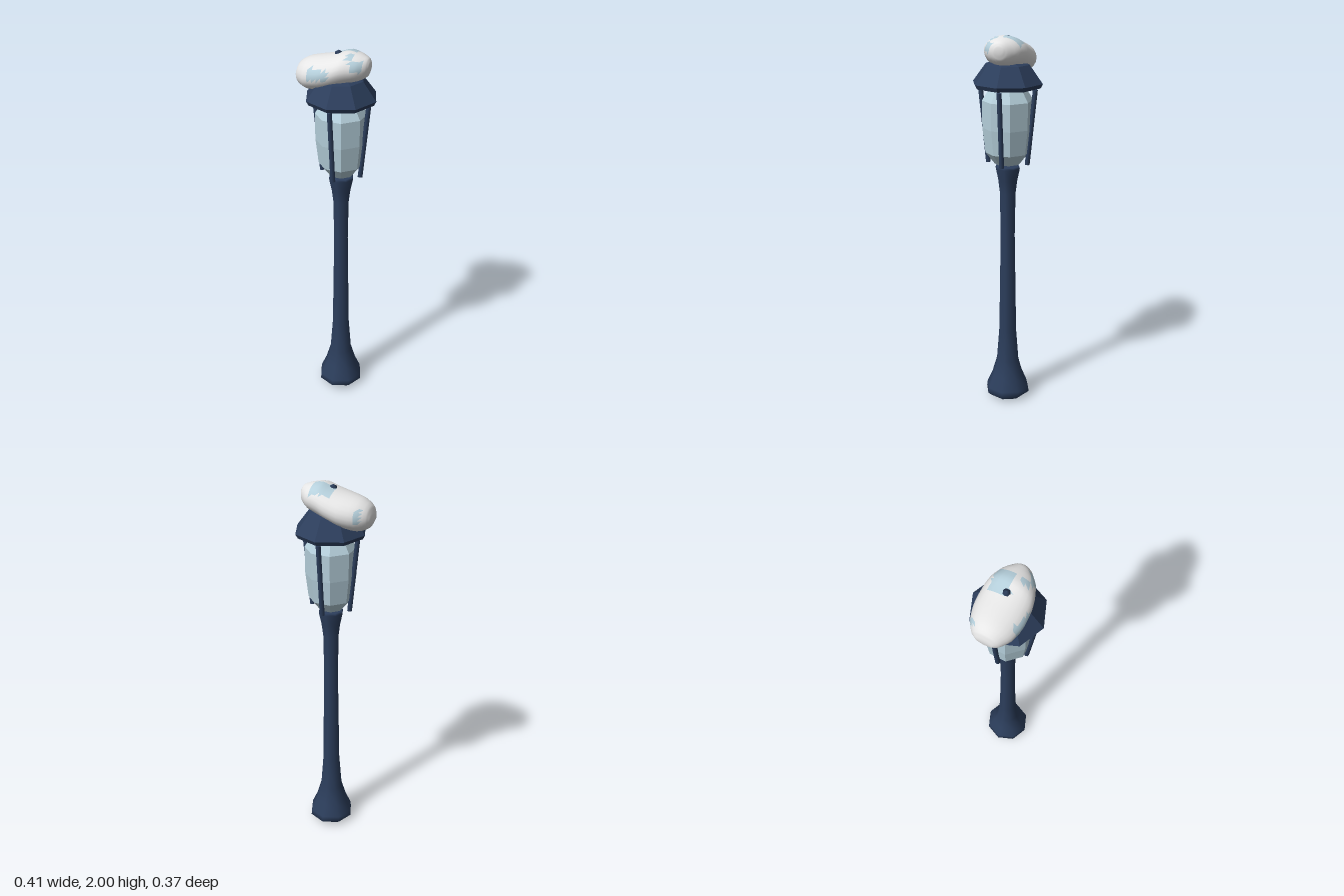
import * as THREE from 'three';

const navy = new THREE.MeshStandardMaterial({ color: 0x2c3e5c });
navy.name = 'navy iron';
const ice = new THREE.MeshStandardMaterial({ color: 0xb6d0dc });
ice.name = 'pale blue glass';
const white = new THREE.MeshStandardMaterial({ color: 0xe6e6e6 });
white.name = 'snow white';

const AXIS_X = 0.021;

// Eight-sided turned part; points are [radius, y] from bottom to top.
function turned(name, points, material, { flat = false, phi = 0 } = {}) {
  let geo = new THREE.LatheGeometry(points.map(([r, y]) => new THREE.Vector2(r, y)), 8, phi);
  if (flat) {
    geo = geo.toNonIndexed();
    geo.computeVertexNormals();
  }
  const mesh = new THREE.Mesh(geo, material);
  mesh.name = name;
  mesh.position.x = AXIS_X;
  return mesh;
}

// Light blue patches on the snow: [xMin, xMax, yMin, yMax, zMin, zMax]
const patches = [
  [-0.01, 0.10, 1.93, 2.1, -0.09, 0.0],
  [0.0, 0.03, 1.93, 2.1, 0.0, 0.02],
  [0.07, 0.1, 1.9, 2.1, 0.03, 0.07],
  [0.08, 0.15, 1.92, 1.97, 0.0, 0.09],
  [-0.12, -0.07, 1.86, 1.92, 0.06, 0.15],
  [-0.07, 0.0, 1.87, 1.92, 0.09, 0.15],
  [-0.17, -0.14, 1.85, 1.91, -0.12, -0.06],
];

// Drooping snow heap, lofted through oval sections: x, bottom, top, half width.
function snowHeap() {
  const sections = [
    [-0.205, 1.835, 1.875, 0.04], [-0.19, 1.805, 1.915, 0.068], [-0.14, 1.785, 1.945, 0.105],
    [-0.06, 1.795, 1.964, 0.125], [0.01, 1.82, 1.983, 0.123], [0.06, 1.84, 2.0, 0.112],
    [0.12, 1.86, 1.99, 0.085], [0.16, 1.885, 1.975, 0.045], [0.172, 1.92, 1.955, 0.02],
  ];
  const centres = new THREE.CatmullRomCurve3(
    sections.map(([x, lo, hi]) => new THREE.Vector3(x, (lo + hi) / 2, 0)));
  const sizes = new THREE.CatmullRomCurve3(
    sections.map(([, lo, hi, w]) => new THREE.Vector3((hi - lo) / 2, w, 0)));
  const rows = 24, sides = 24;
  const pos = [];
  for (let i = 0; i <= rows; i++) {
    const c = centres.getPoint(i / rows), s = sizes.getPoint(i / rows);
    for (let j = 0; j < sides; j++) {
      const a = (j / sides) * Math.PI * 2;
      pos.push(c.x, c.y + s.x * Math.cos(a), s.y * Math.sin(a));
    }
  }
  const first = pos.length / 3;
  for (const t of [0, 1]) pos.push(...centres.getPoint(t).toArray());

  const plain = [], tinted = [];
  const point = (n, k) => pos[n * 3 + k];
  for (let i = 0; i < rows; i++) {
    for (let j = 0; j < sides; j++) {
      const a = i * sides + j, b = i * sides + (j + 1) % sides;
      const c = a + sides, d = b + sides;
      for (const tri of [[a, b, c], [b, d, c]]) {
        const [x, y, z] = [0, 1, 2].map(k => tri.reduce((sum, n) => sum + point(n, k), 0) / 3);
        const hit = patches.some(p => x > p[0] && x < p[1] && y > p[2] && y < p[3] && z > p[4] && z < p[5]);
        (hit ? tinted : plain).push(...tri);
      }
    }
  }
  // Closed ends
  for (let j = 0; j < sides; j++) {
    const k = (j + 1) % sides, end = rows * sides;
    plain.push(first, k, j, first + 1, end + j, end + k);
  }
  const geo = new THREE.BufferGeometry();
  geo.setAttribute('position', new THREE.Float32BufferAttribute(pos, 3));
  geo.setIndex([...plain, ...tinted]);
  geo.addGroup(0, plain.length, 0);
  geo.addGroup(plain.length, tinted.length, 1);
  geo.computeVertexNormals();
  const mesh = new THREE.Mesh(geo, [white, ice]);
  mesh.name = 'snowHeap';
  return mesh;
}

export function createModel() {
  const model = new THREE.Group();
  model.name = 'snowyLampPost';

  // Post with flared foot and collar
  model.add(turned('post', [
    [0, 0], [0.095, 0.008], [0.122, 0.03], [0.118, 0.06], [0.088, 0.13], [0.062, 0.22],
    [0.048, 0.4], [0.039, 0.95], [0.043, 1.18], [0.052, 1.25], [0.066, 1.315], [0.062, 1.327], [0, 1.327],
  ], navy));

  // Faceted lantern glass, listed by distance from axis to panel middle
  const toCorner = 1 / Math.cos(Math.PI / 8);
  model.add(turned('lanternGlass', [
    [0, 1.335], [0.062, 1.34], [0.106, 1.4], [0.12, 1.53], [0.121, 1.67], [0.086, 1.73], [0, 1.73],
  ].map(([r, y]) => [r * toCorner, y]), ice, { flat: true, phi: Math.PI / 8 }));

  // Four leaning rods around the glass
  const up = new THREE.Vector3(0, 1, 0);
  for (let i = 0; i < 4; i++) {
    const a = (i * Math.PI) / 2;
    const low = new THREE.Vector3(Math.sin(a) * 0.105, 1.34, Math.cos(a) * 0.105);
    const high = new THREE.Vector3(Math.sin(a) * 0.145, 1.73, Math.cos(a) * 0.145);
    const dir = high.clone().sub(low);
    const rod = new THREE.Mesh(new THREE.CylinderGeometry(0.013, 0.013, dir.length(), 8), navy);
    rod.name = 'lanternRod';
    rod.position.copy(low).add(high).multiplyScalar(0.5);
    rod.position.x += AXIS_X;
    rod.quaternion.setFromUnitVectors(up, dir.normalize());
    model.add(rod);
  }

  // Eight-sided roof and the finial poking through the snow
  model.add(turned('roof', [
    [0, 1.745], [0.172, 1.738], [0.184, 1.76], [0.115, 1.853], [0.09, 1.862], [0, 1.91],
  ], navy, { flat: true }));
  const finial = turned('finial', [[0, 1.88], [0.022, 1.9], [0.018, 1.985], [0, 1.995]], navy);
  finial.position.x = 0.007;
  model.add(finial);

  model.add(snowHeap());
  return model;
}
